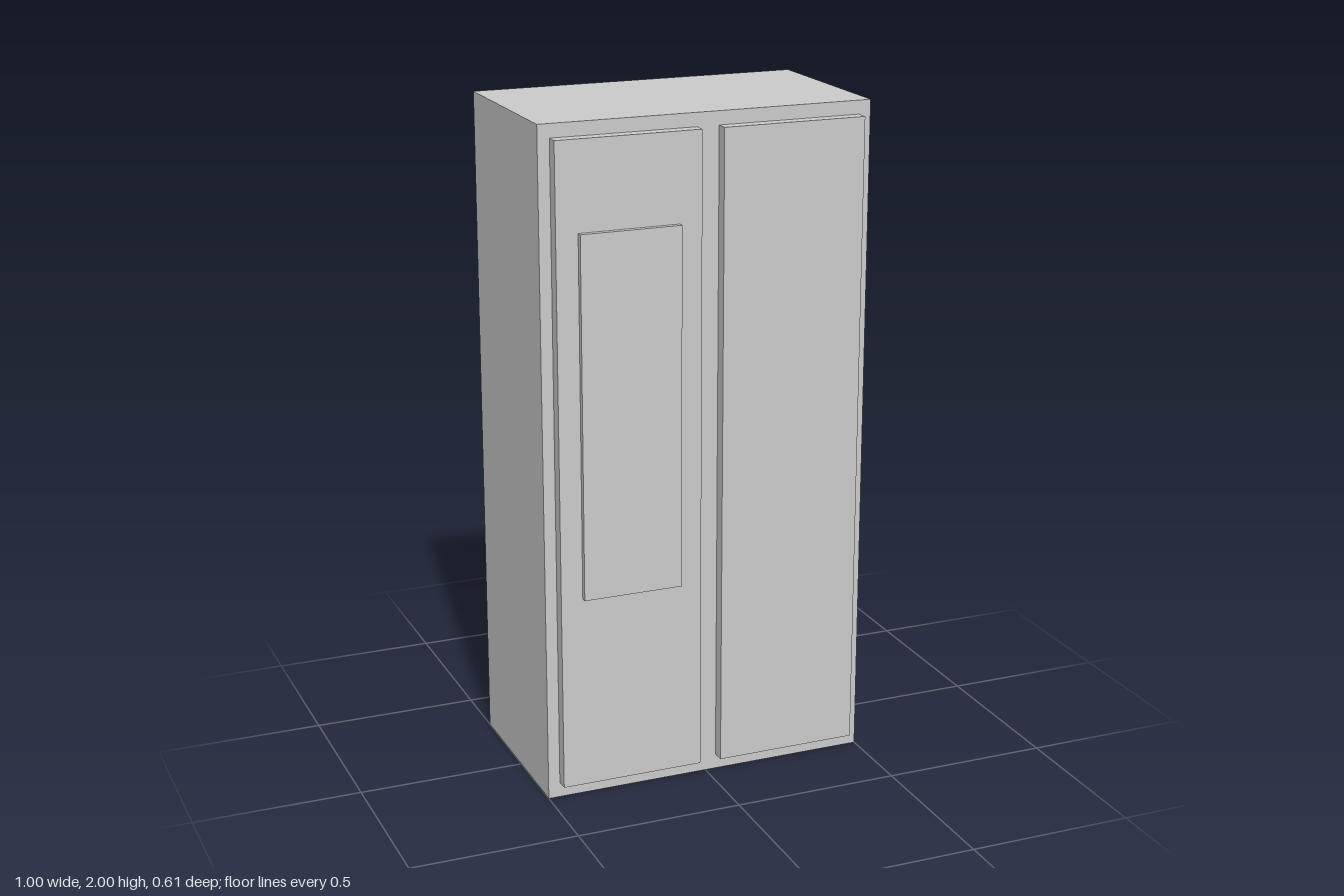
import * as THREE from 'three';

const material = new THREE.MeshStandardMaterial({ color: 0xcccccc });

// Box given by its extents along each axis
function block(name, [x0, x1], [y0, y1], [z0, z1]) {
  const mesh = new THREE.Mesh(new THREE.BoxGeometry(x1 - x0, y1 - y0, z1 - z0), material);
  mesh.name = name;
  mesh.position.set((x0 + x1) / 2, (y0 + y1) / 2, (z0 + z1) / 2);
  return mesh;
}

export function createModel() {
  const cabinet = new THREE.Group();
  cabinet.name = 'cabinet';

  // Main body
  cabinet.add(block('body', [-0.5, 0.5], [0, 2], [-0.304, 0.249]));

  // Pair of raised doors, mirrored about the centre
  cabinet.add(block('rightDoor', [-0.465, -0.033], [0.046, 1.96], [0.249, 0.287]));
  cabinet.add(block('leftDoor', [0.033, 0.465], [0.046, 1.96], [0.249, 0.287]));

  // Thin panel on the right door
  cabinet.add(block('doorPanel', [-0.4, -0.1], [0.63, 1.7], [0.287, 0.304]));

  return cabinet;
}
